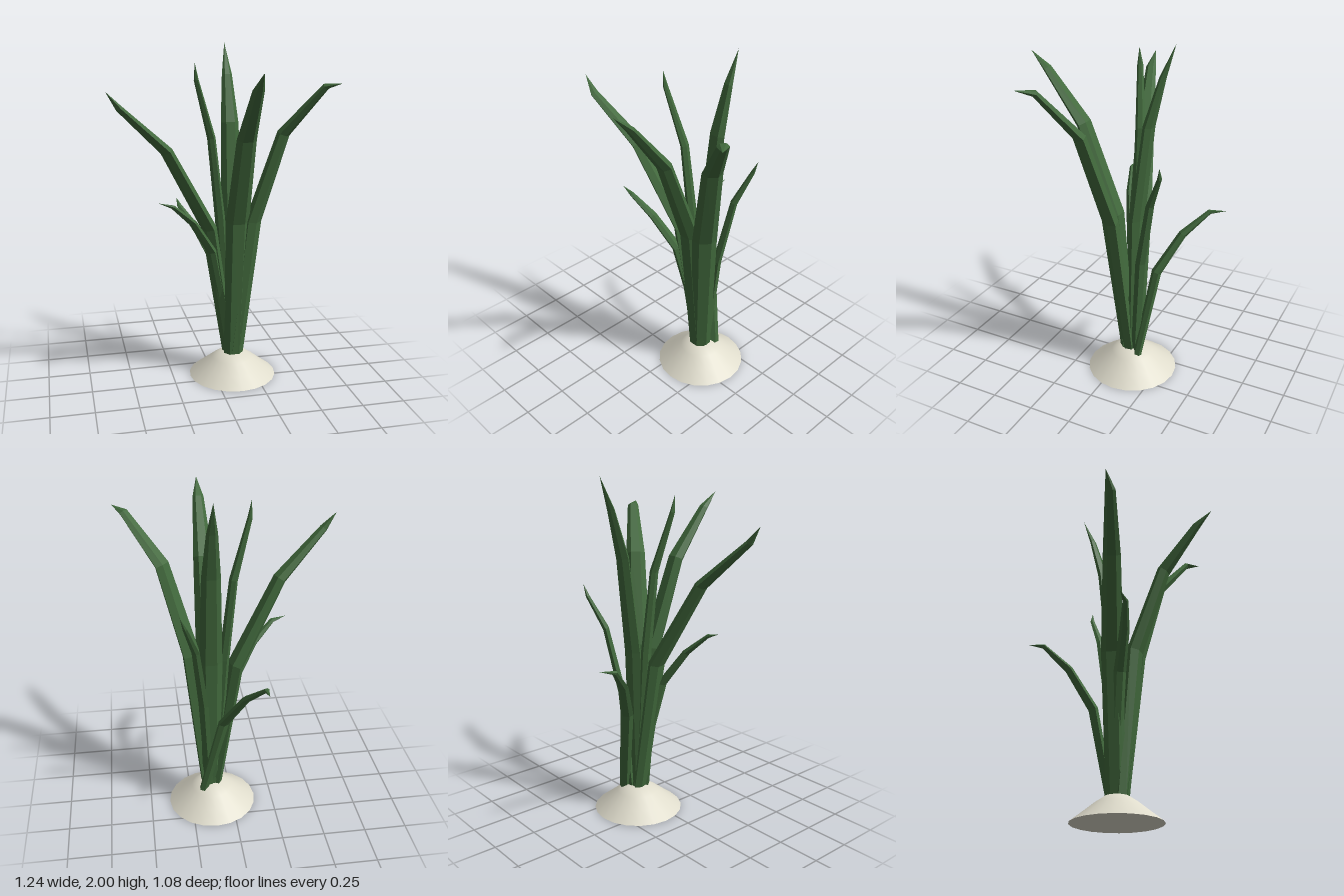
import * as THREE from 'three';

const SIDES = 6;
const leafMaterial = new THREE.MeshStandardMaterial({ color: 0x41693c, flatShading: true });
const bulbMaterial = new THREE.MeshStandardMaterial({ color: 0xdedbcb });

// Flattened six-sided blade swept along a bent path, ending in a point.
function leafGeometry(path, width, thickness) {
  const taper = [0.85, 1, 0.8, 0.46, 0];
  const points = path.map((p) => new THREE.Vector3(...p));
  const last = points.length - 1;
  const lean = points[last].clone().sub(points[0]).setY(0).normalize();
  const side = new THREE.Vector3(lean.z, 0, -lean.x);
  const positions = [];
  const index = [];

  points.forEach((p, i) => {
    const before = points[Math.max(i - 1, 0)];
    const after = points[Math.min(i + 1, last)];
    const tangent = after.clone().sub(before).normalize();
    const across = side.clone().addScaledVector(tangent, -side.dot(tangent)).normalize();
    const normal = tangent.clone().cross(across);
    for (let j = 0; j < SIDES; j++) {
      const a = (j / SIDES) * Math.PI * 2;
      const v = p.clone()
        .addScaledVector(across, Math.cos(a) * width * taper[i])
        .addScaledVector(normal, Math.sin(a) * thickness * taper[i]);
      positions.push(v.x, v.y, v.z);
    }
  });

  for (let i = 0; i < last; i++) {
    for (let j = 0; j < SIDES; j++) {
      const a = i * SIDES + j;
      const b = i * SIDES + (j + 1) % SIDES;
      index.push(a, b, a + SIDES);
      if (i < last - 1) index.push(b, b + SIDES, a + SIDES);
    }
  }
  // Base cap
  for (let j = 1; j < SIDES - 1; j++) index.push(0, j + 1, j);

  const geometry = new THREE.BufferGeometry();
  geometry.setAttribute('position', new THREE.Float32BufferAttribute(positions, 3));
  geometry.setIndex(index);
  geometry.computeVertexNormals();
  return geometry;
}

// Each path runs from the base to the tip.
const leaves = [
  { name: 'frontLeaf', width: 0.07, thickness: 0.045,
    path: [[0.12, 0.13, -0.05], [0.12, 1.0, 0.03], [0.12, 1.51, 0.22], [0.12, 1.79, 0.44], [0.12, 1.88, 0.54]] },
  { name: 'leftLeaf', width: 0.07, thickness: 0.042,
    path: [[0.14, 0.13, -0.06], [0.22, 1.0, 0.01], [0.36, 1.52, 0.11], [0.55, 1.785, 0.245], [0.615, 1.805, 0.32]] },
  { name: 'rightLeaf', width: 0.065, thickness: 0.04,
    path: [[0.1, 0.13, -0.08], [-0.03, 0.95, -0.055], [-0.29, 1.43, 0.04], [-0.55, 1.68, 0.13], [-0.62, 1.77, 0.13]] },
  { name: 'tallBackLeaf', width: 0.066, thickness: 0.036,
    path: [[0.12, 0.13, -0.09], [0.12, 1.0, -0.11], [0.12, 1.55, -0.175], [0.12, 1.82, -0.25], [0.12, 2.0, -0.32]] },
  { name: 'innerLeaf', width: 0.036, thickness: 0.028,
    path: [[0.1, 0.13, -0.08], [0.04, 1.0, -0.075], [-0.015, 1.48, -0.06], [-0.11, 1.81, -0.01], [-0.12, 1.905, 0.0]] },
  { name: 'shortRightLeaf', width: 0.036, thickness: 0.026,
    path: [[0.12, 0.13, -0.1], [-0.025, 0.82, -0.01], [-0.15, 1.02, 0.065], [-0.27, 1.13, 0.115], [-0.35, 1.155, 0.115]] },
  { name: 'shortBackLeaf', width: 0.038, thickness: 0.027,
    path: [[0.175, 0.13, -0.14], [0.06, 0.65, -0.205], [-0.05, 0.87, -0.315], [-0.14, 1.0, -0.44], [-0.14, 1.025, -0.54]] },
  { name: 'slimBackLeaf', width: 0.034, thickness: 0.024,
    path: [[0.14, 0.13, -0.11], [0.17, 0.75, -0.155], [0.215, 1.14, -0.23], [0.275, 1.33, -0.31], [0.3, 1.4, -0.32]] },
];

export function createModel() {
  const group = new THREE.Group();

  // Bulb: low dome with a narrow neck and a flat underside
  const profile = [[0.265, 0], [0.19, 0.058], [0.125, 0.11], [0.07, 0.147], [0, 0.15]]
    .map(([r, y]) => new THREE.Vector2(r, y));
  const bulb = new THREE.Group();
  bulb.name = 'bulb';
  bulb.position.set(0.12, 0, -0.08);
  const dome = new THREE.Mesh(new THREE.LatheGeometry(profile, 20), bulbMaterial);
  dome.name = 'bulbDome';
  const underside = new THREE.Mesh(new THREE.CircleGeometry(0.265, 20), bulbMaterial);
  underside.name = 'bulbUnderside';
  underside.rotation.x = Math.PI / 2;
  bulb.add(dome, underside);
  group.add(bulb);

  // Leaves
  for (const { name, path, width, thickness } of leaves) {
    const leaf = new THREE.Mesh(leafGeometry(path, width, thickness), leafMaterial);
    leaf.name = name;
    group.add(leaf);
  }
  return group;
}
